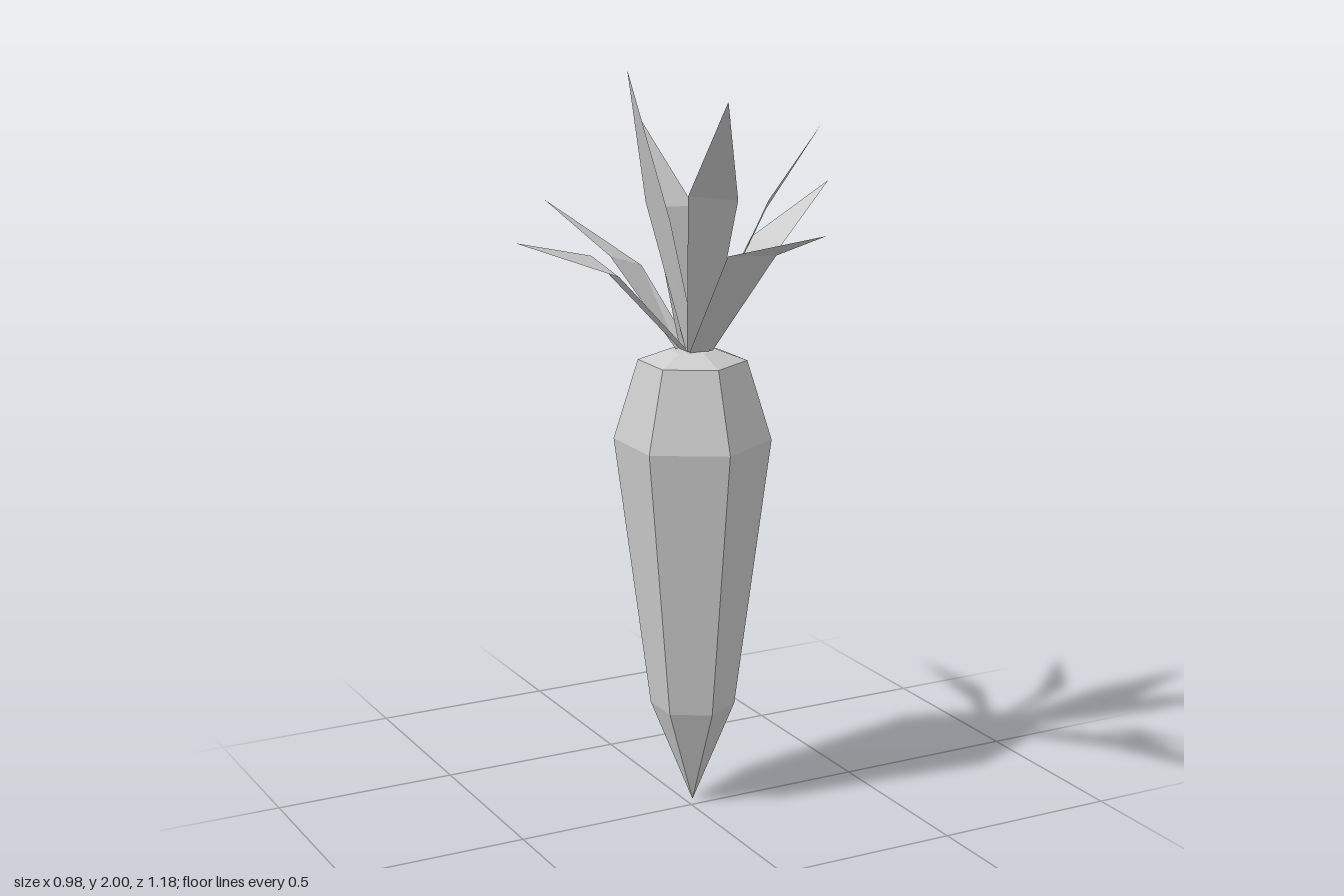
import * as THREE from 'three';

const CENTER = [0.022, -0.035]; // x and z of the root's axis

// Each leaf: two base corners, two wide middle corners, one tip
const LEAVES = {
  leftLowLeaf: [[0.01, 1.25, -0.065], [0.01, 1.25, -0.01], [-0.245, 1.525, -0.082], [-0.23, 1.49, 0.05], [-0.49, 1.59, 0]],
  leftTallLeaf: [[0.02, 1.25, -0.065], [0.025, 1.25, -0.005], [-0.085, 1.65, -0.09], [-0.077, 1.62, 0.03], [-0.175, 2, -0.01]],
  backLowLeaf: [[-0.01, 1.25, -0.045], [0.04, 1.25, -0.07], [-0.11, 1.485, -0.25], [0.015, 1.44, -0.315], [-0.143, 1.59, -0.59]],
  backTallLeaf: [[0.0, 1.25, -0.06], [0.055, 1.25, -0.06], [-0.022, 1.62, -0.18], [0.11, 1.61, -0.195], [0.04, 1.845, -0.4]],
  rightLowLeaf: [[0.04, 1.25, -0.065], [0.05, 1.25, -0.01], [0.255, 1.525, -0.142], [0.275, 1.525, -0.01], [0.49, 1.66, -0.14]],
  rightTallLeaf: [[0.05, 1.25, -0.06], [0.025, 1.25, -0.005], [0.228, 1.62, -0.015], [0.175, 1.66, 0.09], [0.327, 1.85, 0.097]],
  frontTallLeaf: [[0.0, 1.25, -0.025], [0.05, 1.25, 0.0], [-0.093, 1.7, 0.16], [0.017, 1.69, 0.217], [-0.133, 1.965, 0.44]],
  frontLowLeaf: [[-0.005, 1.25, -0.01], [0.06, 1.25, -0.01], [-0.035, 1.56, 0.26], [0.105, 1.55, 0.255], [0.05, 1.655, 0.59]],
};

function leafGeometry(corners) {
  const geometry = new THREE.BufferGeometry();
  geometry.setAttribute('position', new THREE.Float32BufferAttribute(corners.flat(), 3));
  geometry.setIndex([0, 1, 3, 0, 3, 2, 2, 3, 4]);
  const flat = geometry.toNonIndexed();
  flat.computeVertexNormals();
  return flat;
}

export function createModel() {
  const group = new THREE.Group();
  const rootMaterial = new THREE.MeshStandardMaterial({ color: 0xcccccc, flatShading: true });
  const leafMaterial = new THREE.MeshStandardMaterial({
    color: 0xcccccc, flatShading: true, side: THREE.DoubleSide,
  });

  // Six-sided tapering root: [radius, height] from the tip to the crown
  const profile = [[0, 0.005], [0.113, 0.285], [0.208, 1.022], [0.143, 1.235], [0.065, 1.263], [0, 1.263]];
  const root = new THREE.Mesh(
    new THREE.LatheGeometry(profile.map(([r, y]) => new THREE.Vector2(r, y)), 6),
    rootMaterial,
  );
  root.name = 'root';
  root.position.set(CENTER[0], 0, CENTER[1]);
  group.add(root);

  // Thin pointed leaves fanning out of the crown
  const leaves = new THREE.Group();
  leaves.name = 'leaves';
  for (const [name, corners] of Object.entries(LEAVES)) {
    const leaf = new THREE.Mesh(leafGeometry(corners), leafMaterial);
    leaf.name = name;
    leaves.add(leaf);
  }
  group.add(leaves);

  return group;
}
